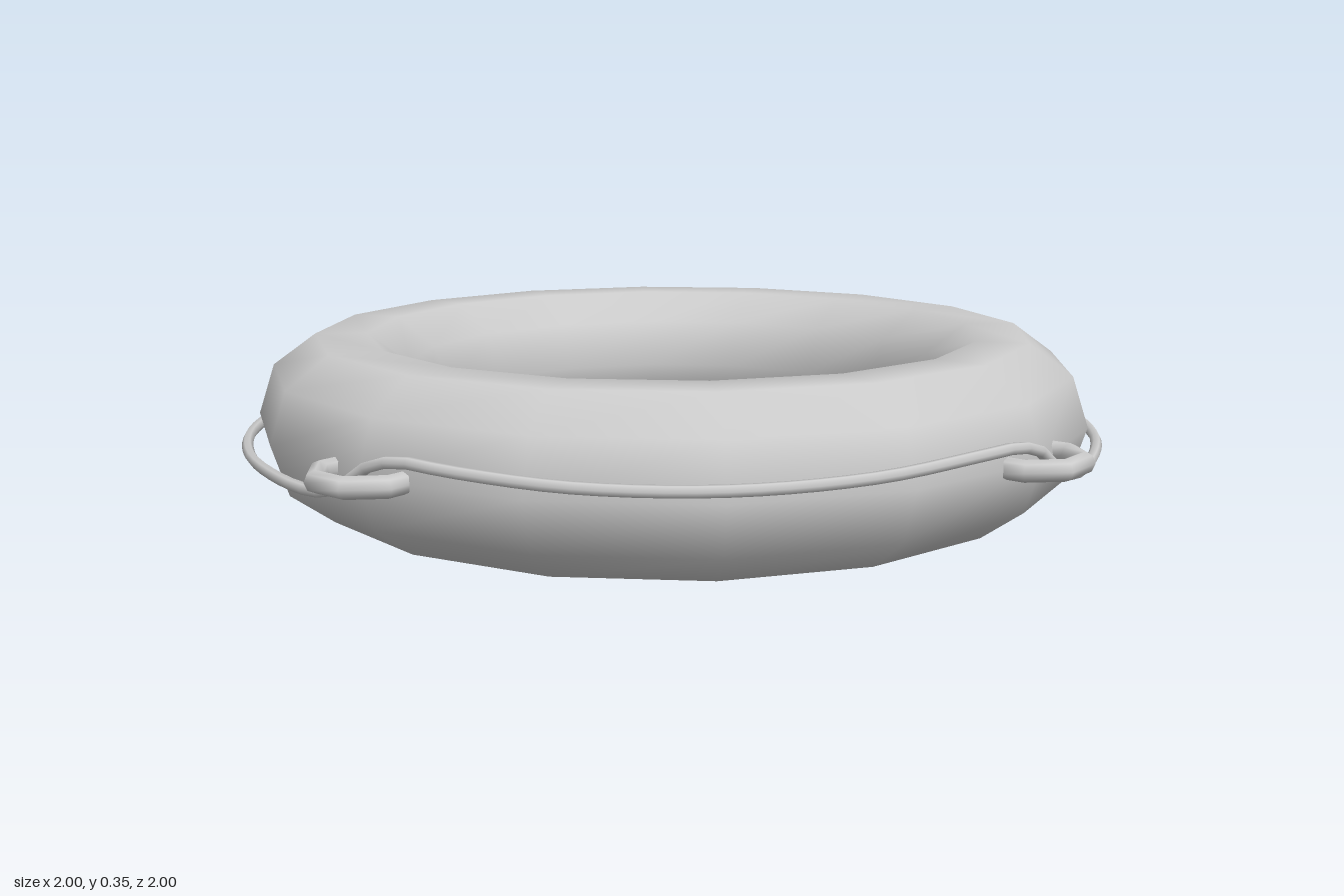
import * as THREE from 'three';

const MID = 0.176; // height of the ring's centre plane

export function createModel() {
  const group = new THREE.Group();
  const material = new THREE.MeshStandardMaterial({ color: 0xcccccc });
  const add = (name, geometry) => {
    const mesh = new THREE.Mesh(geometry, material);
    mesh.name = name;
    group.add(mesh);
    return mesh;
  };

  // Buoyant ring: ten-sided section swept around sixteen segments
  const ring = add('floatRing', new THREE.TorusGeometry(0.73, 0.183, 10, 16).rotateX(Math.PI / 2));
  ring.position.y = MID;

  // Four rope loops, half sunk into the rim
  const loopGeometry = new THREE.TorusGeometry(0.102, 0.022, 8, 8)
    .rotateZ(Math.PI / 8)
    .rotateX(Math.PI / 2);
  for (let i = 0; i < 4; i++) {
    const angle = (i * Math.PI) / 2;
    const loop = add('ropeLoop' + (i + 1), loopGeometry);
    loop.position.set(Math.cos(angle) * 0.885, MID, Math.sin(angle) * 0.885);
    loop.rotation.y = -angle;
  }

  // Grab rope: threads each loop, running below and above the middle in turn
  // Each entry: angle past the loop, low offset, high offset
  const steps = [
    [0, 0, 0],
    [0.06, -0.03, 0.035],
    [0.14, -0.041, 0.05],
    [0.25, -0.043, 0.05],
    [0.5, -0.043, 0.037],
    [0.785, -0.043, 0.03],
    [1.07, -0.043, 0.033],
    [1.32, -0.046, 0.045],
    [1.43, -0.045, 0.05],
    [1.51, -0.03, 0.035],
  ];
  const points = [];
  for (let quarter = 0; quarter < 4; quarter++) {
    for (const [offset, low, high] of steps) {
      const angle = (quarter * Math.PI) / 2 + offset;
      points.push(new THREE.Vector3(
        Math.cos(angle) * 0.932,
        MID + (quarter % 2 ? high : low),
        Math.sin(angle) * 0.932,
      ));
    }
  }
  const path = new THREE.CatmullRomCurve3(points, true);
  add('grabRope', new THREE.TubeGeometry(path, 112, 0.012, 6, true));

  return group;
}
